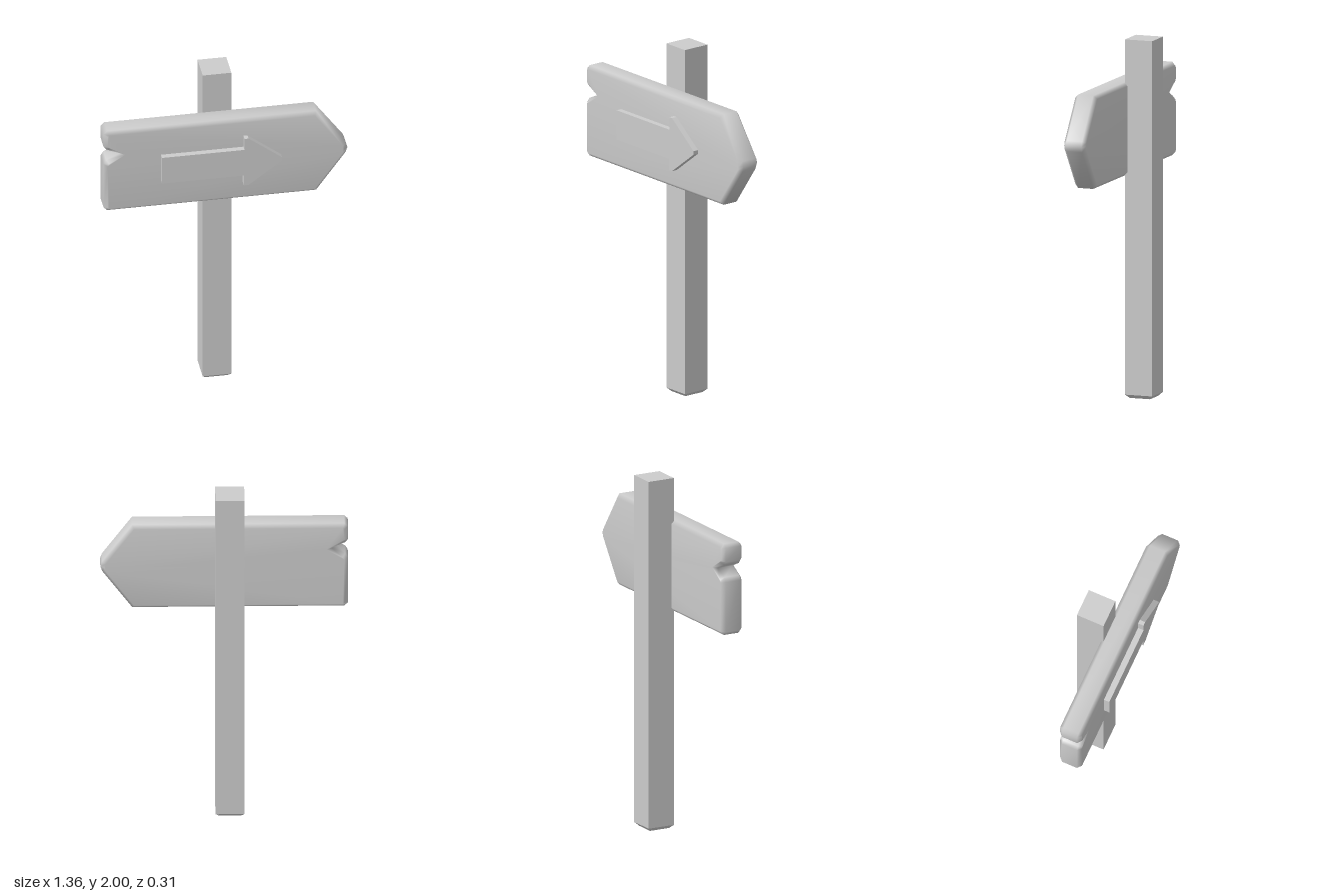
import * as THREE from 'three';
import { mergeVertices } from 'three/addons/utils/BufferGeometryUtils.js';

const outline = (points) => new THREE.Shape(points.map(([x, y]) => new THREE.Vector2(x, y)));

export function createModel() {
  const group = new THREE.Group();
  const flat = new THREE.MeshStandardMaterial({ color: 0xcccccc, flatShading: true });
  const smooth = new THREE.MeshStandardMaterial({ color: 0xcccccc });

  const add = (name, geometry, material, x, y, z) => {
    const mesh = new THREE.Mesh(geometry, material);
    mesh.name = name;
    mesh.position.set(x, y, z);
    group.add(mesh);
    return mesh;
  };

  // Square post with a chamfered foot
  const width = 0.16, chamfer = 0.02;
  add('post', new THREE.BoxGeometry(width, 2 - chamfer, width), flat, -0.03, 1 + chamfer / 2, -0.075);
  const foot = new THREE.CylinderGeometry(
    width * Math.SQRT1_2, (width - 2 * chamfer) * Math.SQRT1_2, chamfer, 4);
  foot.rotateY(Math.PI / 4);
  add('postFoot', foot, flat, -0.03, chamfer / 2, -0.075);

  // Pointed board with a split in its blunt end, bevelled and smooth all round
  const board = new THREE.ExtrudeGeometry(outline([
    [-0.66, 1.24], [0.505, 1.24], [0.67, 1.47], [0.68, 1.5], [0.67, 1.53],
    [0.505, 1.76], [-0.66, 1.76], [-0.68, 1.74], [-0.68, 1.66], [-0.665, 1.64],
    [-0.59, 1.605], [-0.665, 1.57], [-0.68, 1.545], [-0.68, 1.26],
  ]), {
    depth: 0.09, bevelThickness: 0.02, bevelSize: 0.02, bevelOffset: -0.02, bevelSegments: 1,
  });
  board.deleteAttribute('uv');
  board.deleteAttribute('normal');
  const welded = mergeVertices(board, 1e-4);
  welded.computeVertexNormals();
  add('signBoard', welded, smooth, 0, 0, 0.01);

  // Raised arrow on the face of the board
  const arrow = new THREE.ExtrudeGeometry(outline([
    [-0.363, 1.415], [0.093, 1.415], [0.093, 1.35], [0.12, 1.35], [0.307, 1.49],
    [0.307, 1.51], [0.12, 1.655], [0.097, 1.655], [0.097, 1.583], [-0.363, 1.583],
  ]), { depth: 0.043, bevelEnabled: false });
  add('arrow', arrow, flat, 0, 0, 0.11);

  return group;
}
